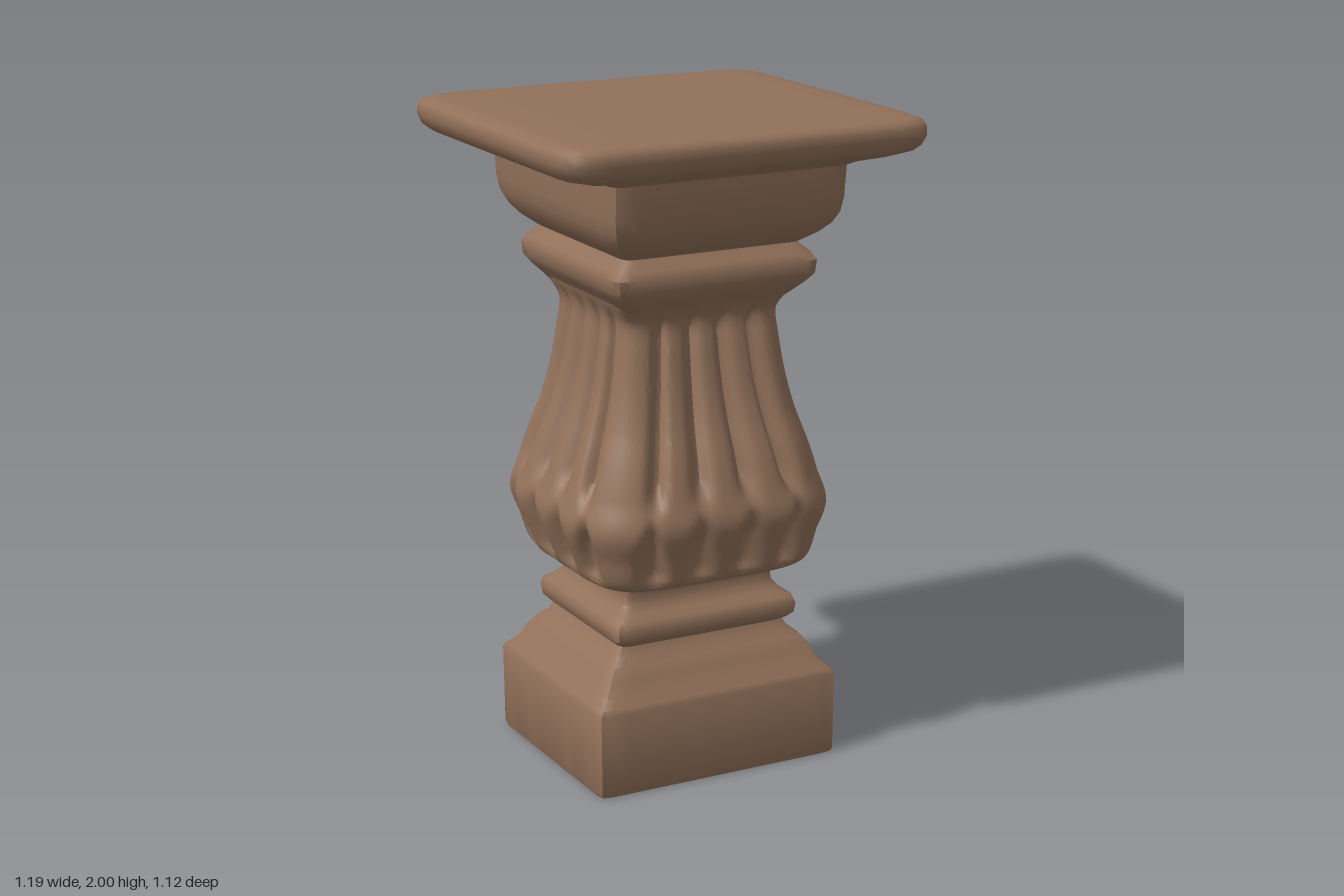
import * as THREE from 'three';
import { toCreasedNormals } from 'three/addons/utils/BufferGeometryUtils.js';

const stone = new THREE.MeshStandardMaterial({ color: 0x92715a });
stone.name = 'brownStone';

// Lofts rounded-square rings [y, half width x, half depth z, squareness] into a closed solid.
// carve(u, y) gives how far the surface is cut inwards; u runs -1..1 along each face.
function loft(name, rings, { perSide = 14, carve = () => 0, crease = 0.7 } = {}) {
  const pos = [], index = [], n = perSide * 4;
  for (const [y, hx, hz, p] of rings) {
    for (let i = 0; i < n; i++) {
      const side = Math.floor(i / perSide);
      const t = (i % perSide) / perSide * 2 - 1;
      const u = Math.sin(t * Math.PI / 2) * 0.4 + t * 0.6; // denser near corners
      const s = (1 - carve(u, y)) / Math.pow(Math.pow(Math.abs(u), p) + 1, 1 / p);
      const [x, z] = [[u, 1], [1, -u], [-u, -1], [-1, u]][side];
      pos.push(x * s * hx, y, z * s * hz);
    }
  }
  for (let r = 0; r < rings.length - 1; r++) {
    for (let i = 0; i < n; i++) {
      const a = r * n + i, b = r * n + (i + 1) % n;
      index.push(a, b, a + n, b, b + n, a + n);
    }
  }
  // end faces
  const last = (rings.length - 1) * n;
  const low = pos.length / 3, high = low + 1;
  pos.push(0, rings[0][0], 0, 0, rings[rings.length - 1][0], 0);
  for (let i = 0; i < n; i++) {
    const j = (i + 1) % n;
    index.push(low, j, i, high, last + i, last + j);
  }
  const geo = new THREE.BufferGeometry();
  geo.setAttribute('position', new THREE.Float32BufferAttribute(pos, 3));
  geo.setIndex(index);
  const mesh = new THREE.Mesh(toCreasedNormals(geo, crease), stone);
  mesh.name = name;
  return mesh;
}

// Smoothly resamples a few rings along the height.
function smoothRings(rings, steps) {
  const a = new THREE.CatmullRomCurve3(rings.map(r => new THREE.Vector3(r[1], r[0], r[2])), false, 'centripetal');
  const out = [];
  for (let i = 0; i <= steps; i++) {
    const t = i / steps, v = a.getPoint(t);
    const k = Math.min(Math.floor(t * (rings.length - 1)), rings.length - 2);
    const f = t * (rings.length - 1) - k;
    out.push([v.y, v.x, v.z, rings[k][3] * (1 - f) + rings[k + 1][3] * f]);
  }
  return out;
}

const bump = (d, w) => Math.exp(-(d * d) / (w * w));
const ramp = THREE.MathUtils.smoothstep;

// Four long flutes on each face, opening into scalloped leaf lobes at the belly.
function flutes(u, y) {
  const long = ramp(y, 0.84, 0.95) * (1 - ramp(y, 1.36, 1.46));
  const lobe = ramp(y, 0.61, 0.68) * (1 - ramp(y, 0.76, 0.88));
  let cut = 0;
  for (const c of [-0.6, -0.2, 0.2, 0.6]) {
    cut += long * 0.11 * bump(u - c, 0.075);
    cut += lobe * 0.1 * bump(u - c * 1.03, 0.05 + 0.5 * Math.max(0, 0.83 - y));
  }
  return cut;
}

export function createModel() {
  const group = new THREE.Group();
  group.name = 'baluster';

  group.add(loft('plinth', [
    [0, 0.4, 0.345, 40], [0.01, 0.405, 0.35, 40], [0.26, 0.408, 0.352, 40], [0.275, 0.4, 0.345, 30],
    [0.3, 0.372, 0.318, 30], [0.34, 0.35, 0.3, 30], [0.375, 0.325, 0.277, 30], [0.4, 0.295, 0.25, 30],
    [0.43, 0.28, 0.24, 30],
  ]));

  group.add(loft('collarBead', [
    [0.42, 0.27, 0.235, 25], [0.432, 0.29, 0.255, 25], [0.45, 0.308, 0.273, 25], [0.48, 0.312, 0.278, 25],
    [0.503, 0.303, 0.268, 25], [0.52, 0.277, 0.242, 25], [0.545, 0.257, 0.224, 20], [0.58, 0.252, 0.22, 20],
    [0.64, 0.27, 0.24, 20],
  ]));

  group.add(loft('flutedVase', smoothRings([
    [0.608, 0.27, 0.25, 6], [0.614, 0.33, 0.315, 5], [0.64, 0.37, 0.355, 4.5], [0.72, 0.402, 0.38, 4],
    [0.81, 0.425, 0.405, 4], [0.9, 0.4, 0.382, 4], [1.0, 0.365, 0.35, 4.5], [1.1, 0.327, 0.313, 5],
    [1.2, 0.297, 0.285, 6], [1.32, 0.275, 0.262, 7], [1.41, 0.265, 0.252, 8], [1.47, 0.285, 0.285, 12],
  ], 66), { perSide: 64, carve: flutes, crease: 1.0 }));

  group.add(loft('neckBand', [
    [1.44, 0.265, 0.26, 12], [1.47, 0.285, 0.29, 18], [1.5, 0.312, 0.318, 22], [1.525, 0.33, 0.336, 25],
    [1.565, 0.335, 0.338, 25], [1.585, 0.323, 0.325, 25], [1.605, 0.3, 0.305, 25], [1.63, 0.283, 0.288, 25],
  ]));

  group.add(loft('cornice', [
    [1.61, 0.28, 0.285, 25], [1.622, 0.298, 0.305, 25], [1.65, 0.335, 0.345, 25], [1.68, 0.36, 0.378, 25],
    [1.715, 0.376, 0.4, 25], [1.76, 0.383, 0.41, 25], [1.88, 0.386, 0.42, 25],
  ]));

  group.add(loft('capSlab', [
    [1.855, 0.385, 0.415, 25], [1.87, 0.42, 0.445, 22], [1.885, 0.5, 0.495, 20], [1.9, 0.56, 0.53, 16],
    [1.918, 0.583, 0.55, 14], [1.945, 0.594, 0.56, 14], [1.97, 0.594, 0.56, 14], [1.985, 0.586, 0.553, 14],
    [1.995, 0.565, 0.533, 14], [1.998, 0.52, 0.49, 14], [2, 0.4, 0.38, 14],
  ], { crease: 1.0 }));

  return group;
}
